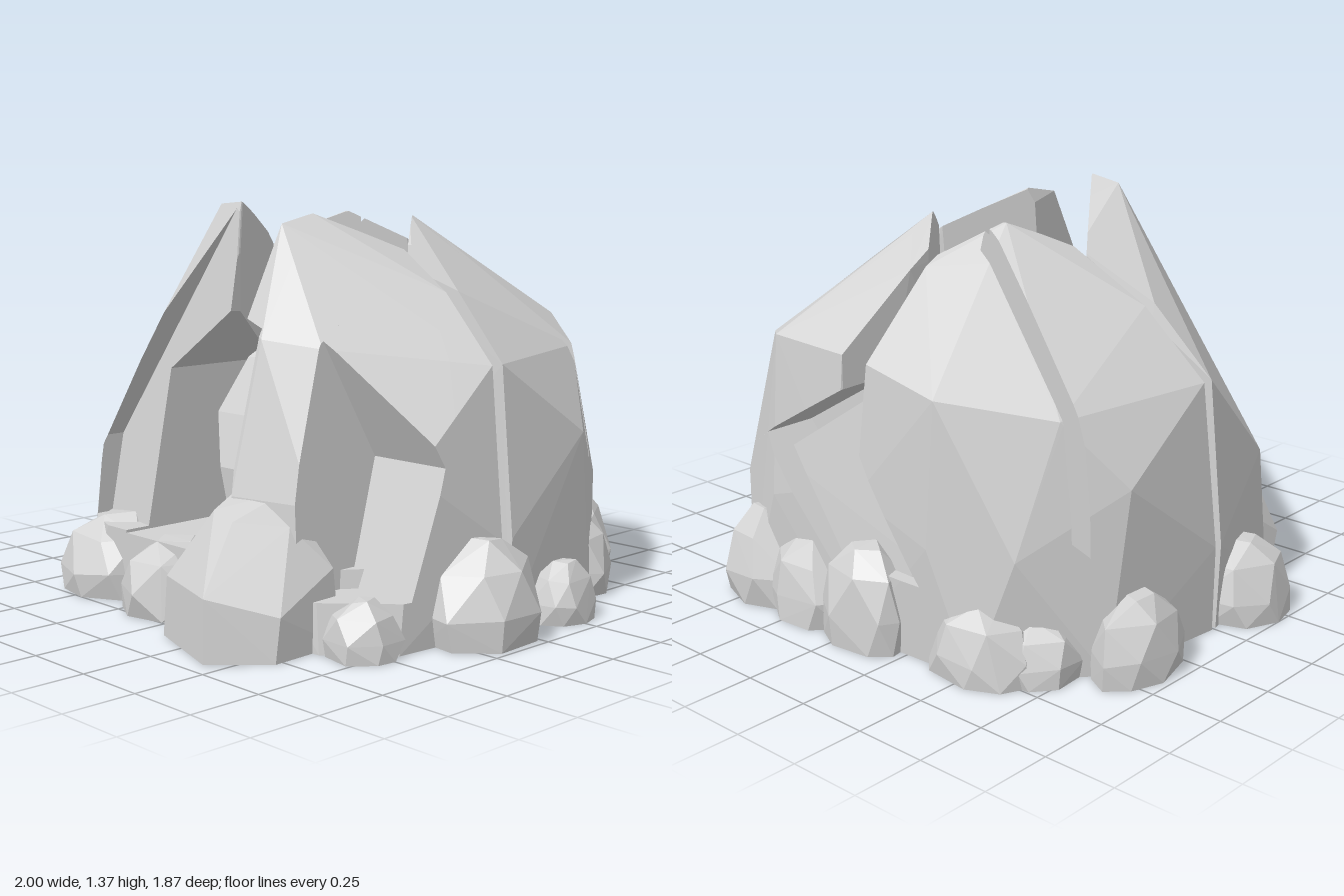
import * as THREE from 'three';
import { ConvexGeometry } from 'three/addons/geometries/ConvexGeometry.js';
import { mergeGeometries } from 'three/addons/utils/BufferGeometryUtils.js';

const stone = new THREE.MeshStandardMaterial({ color: 0xd2d2d2, flatShading: true });
stone.name = 'grey stone';

const V = (p) => new THREE.Vector3(...p);
// A cut plane [nx, ny, nz, c] keeps the points where n . p >= c.
const dist = (p, [a, b, c, d]) => a * p.x + b * p.y + c * p.z - d;
const flip = (plane) => plane.map((n) => -n);

// Drop repeated points and points inside the hull; null when nothing solid is left.
function hullPoints(points) {
  const unique = (list) => [...new Map(list.map((p) =>
    [p.toArray().map((n) => Math.round(n * 2000)).join(), p])).values()];
  const pts = unique(points);
  if (pts.length < 4) return null;
  const size = new THREE.Box3().setFromPoints(pts).getSize(new THREE.Vector3());
  if (Math.min(size.x, size.y, size.z) < 0.004) return null;
  const pos = new ConvexGeometry(pts).attributes.position;
  const out = [];
  for (let i = 0; i < pos.count; i++) out.push(new THREE.Vector3().fromBufferAttribute(pos, i));
  return out.length < 12 ? null : unique(out);
}

// Cut a convex solid by one plane.
function clip(points, plane) {
  if (!points) return null;
  const d = points.map((p) => dist(p, plane));
  const out = points.filter((p, i) => d[i] >= 0);
  for (let i = 0; i < points.length; i++) {
    for (let j = 0; j < points.length; j++) {
      if (d[i] > 0 && d[j] < 0) out.push(points[i].clone().lerp(points[j], d[i] / (d[i] - d[j])));
    }
  }
  return hullPoints(out);
}

// Carve the region inside all the planes out of a list of convex solids.
function carve(solids, planes) {
  const out = [];
  for (const solid of solids) {
    let rest = solid;
    for (const plane of planes) {
      const part = clip(rest, flip(plane));
      if (part) out.push(part);
      rest = clip(rest, plane);
    }
  }
  return out;
}

function addRock(group, name, solids) {
  const mesh = new THREE.Mesh(mergeGeometries(solids.map((s) => new ConvexGeometry(s))), stone);
  mesh.name = name;
  group.add(mesh);
}

// Quarter of the split boulder: outline points, a cut facing the core, then notches.
function addShard(group, name, points, coreCut, notches) {
  let solids = [clip(points.map(V), coreCut)];
  for (const planes of notches) solids = carve(solids, planes);
  addRock(group, name, solids);
}

// Rounded, faceted pebble with a flat base.
function pebble(x, z, rx, rz, h, seed) {
  let s = seed * 7919 + 17;
  const rand = () => (s = (s * 16807) % 2147483647) / 2147483647;
  const pts = [];
  for (const [level, r, sides] of [[0, 0.95, 8], [0.34, 1, 7], [0.74, 0.78, 6], [1, 0.34, 4]]) {
    const turn = rand() * 6;
    for (let i = 0; i < sides; i++) {
      const a = turn + (i + rand() * 0.4) / sides * Math.PI * 2;
      const k = r * (0.97 + rand() * 0.1);
      const y = level === 0 ? 0 : h * (level - rand() * 0.06);
      pts.push(new THREE.Vector3(x + Math.cos(a) * rx * k, y, z + Math.sin(a) * rz * k));
    }
  }
  return pts;
}

export function createModel() {
  const group = new THREE.Group();
  group.name = 'splitBoulder';

  // Back quarters, each with a tapering crack and a broken inner corner
  addShard(group, 'backRightShard', [
    [-0.2, 1.32, -0.28], [-0.06, 1.31, -0.3], [-0.05, 1.19, -0.5], [-0.07, 0.93, -0.79], [-0.38, 0.88, -0.81],
    [-0.05, 1.26, -0.1], [-0.32, 1.24, -0.1], [-0.6, 1.07, -0.06], [-0.82, 0.85, -0.03],
    [-0.88, 0.3, -0.02], [-0.87, 0, -0.01], [-0.68, 0.82, -0.57], [-0.84, 0.6, -0.42],
    [-0.82, 0, -0.5], [-0.64, 0.4, -0.73], [-0.52, 0, -0.8], [-0.36, 0.4, -0.83],
    [-0.05, 0.5, -0.83], [-0.02, 0, -0.82], [-0.01, 0, -0.02],
  ], [-0.78, 0, -0.62, 0.32], [
    [[-0.33, 0, 0.94, -0.302], [0.33, 0, -0.94, 0.245], [-0.82, 0.57, 0, 0.86]],
    [[1.4, -1, 0, -0.71], [0, 1, 0, 0.26], [0, 0, -1, 0.6]],
  ]);
  addShard(group, 'backLeftShard', [
    [0.13, 1.32, -0.27], [0.04, 1.28, -0.3], [0.02, 1.17, -0.5], [0.04, 0.94, -0.79],
    [0.36, 0.95, -0.79], [0.05, 1.22, -0.1], [0.3, 1.22, -0.1], [0.55, 1.08, -0.06],
    [0.77, 0.86, -0.03], [0.83, 0.3, -0.02], [0.83, 0, -0.01], [0.63, 0.87, -0.57],
    [0.8, 0.6, -0.42], [0.78, 0, -0.5], [0.62, 0.4, -0.72], [0.52, 0, -0.8],
    [0.36, 0.4, -0.83], [0.04, 0.5, -0.83], [0.01, 0, -0.82], [0.01, 0, -0.02],
  ], [0.77, 0, -0.64, 0.283], [
    [[0.41, 0, 0.91, -0.275], [-0.41, 0, -0.91, 0.218], [0.82, 0.57, 0, 0.86]],
    [[-0.51, -0.86, 0, -0.73], [-1.08, 1, 0, 0.146], [0, 0, -1, 0.6]],
  ]);

  // Front quarters: an arch over the core, and broken-out corners
  addShard(group, 'frontRightShard', [
    [-0.04, 1.25, 0.0], [-0.32, 1.22, -0.06], [-0.6, 1.07, -0.01], [-0.82, 0.85, 0.01],
    [-0.88, 0.3, 0.01], [-0.87, 0, 0.01], [-0.15, 1.36, 0.36], [0, 1.37, 0.4],
    [0.03, 1.2, 0.44], [0.05, 1.0, 0.55], [-0.3, 0.9, 0.56], [-0.3, 0.52, 0.67],
    [0.02, 0.5, 0.67], [0.02, 0, 0.66], [-0.3, 0, 0.66], [-0.58, 0.5, 0.56],
    [-0.76, 0.5, 0.4], [-0.74, 0, 0.5], [-0.52, 0, 0.66], [-0.02, 0, 0.0],
  ], [-0.79, 0, 0.615, 0.243], [
    [[1, 0, 0, -0.31], [0.64, -1, 0, -0.99], [0, 1, 0, 0.24]],
    [[1, 0, 0, -0.6], [1.4, -1, 0, -1.37], [-0.2, 0.2, 1, 0.68], [0, 1, 0, 0.25]],
  ]);
  addShard(group, 'frontLeftShard', [
    [0.08, 1.24, 0.0], [0.3, 1.21, -0.06], [0.55, 1.08, 0.0], [0.77, 0.86, 0.02],
    [0.83, 0.3, 0.03], [0.82, 0, 0.02], [0.13, 1.33, 0.2], [0.13, 1.3, 0.34],
    [0.14, 1.0, 0.5], [0.24, 0.94, 0.53], [0.24, 0.45, 0.66], [0.26, 0, 0.66],
    [0.45, 0.92, 0.46], [0.55, 0.45, 0.6], [0.6, 0, 0.62], [0.77, 0.55, 0.38],
    [0.78, 0, 0.45], [0.08, 0, 0.0],
  ], [0.81, 0, 0.58, 0.214], [
    [[-1, 0, 0, -0.225], [-0.3, -1, 0, -1.04], [0, 1, 0, 0.24]],
    [[1, 0.1, 0, 0.53], [0, 0.35, 0.94, 0.43], [0, -0.45, 0.89, -0.03], [0, 1, 0, 0.16]],
  ]);

  // Core stone standing in the hollow
  const core = [
    [[-0.2, -0.23], [-0.03, -0.42], [0.15, -0.23], [0.1, -0.02], [-0.12, -0.02]].map(([x, z]) => [x, 0.98, z]),
    [[-0.36, -0.08], [-0.03, -0.47], [0.29, -0.08], [0.16, 0.2], [-0.2, 0.2]].map(([x, z]) => [x, 0.82, z]),
    [[-0.36, -0.08], [0.29, -0.06], [0.2, 0.3], [-0.25, 0.3], [-0.32, 0.12], [0.27, 0.12]].map(([x, z]) => [x, 0.63, z]),
    [[-0.33, 0.12], [0.28, 0.12], [0.14, 0.36], [-0.17, 0.36]].map(([x, z]) => [x, 0.45, z]),
    [[-0.34, 0.08], [0.28, 0.08], [0.12, 0.35], [-0.15, 0.35], [-0.03, -0.47]].map(([x, z]) => [x, 0.33, z]),
    [[-0.35, -0.08], [-0.03, -0.47], [0.29, -0.08], [0.12, 0.2], [-0.15, 0.2]].map(([x, z]) => [x, 0, z]),
  ].flat().map(V);
  addRock(group, 'coreStone', [core]);

  // Low footing that joins the quarters under the core
  const footing = [[0.72, 0.2], [0.45, 0.58], [-0.45, 0.6], [-0.74, 0.2], [-0.74, -0.3], [-0.4, -0.72],
    [0.4, -0.72], [0.72, -0.3]].flatMap(([x, z]) => [V([x, 0, z]), V([x * 0.95, 0.22, z * 0.95])]);
  addRock(group, 'footing', [footing]);

  // Rock wedged in the lower part of the back gap
  addRock(group, 'backInfill', [[
    [-0.34, 0, -0.78], [0.44, 0, -0.78], [-0.34, 0.3, -0.78], [0.44, 0.5, -0.73], [0.02, 0.78, -0.7],
    [-0.08, 0.78, -0.7], [-0.2, 0, -0.45], [0.3, 0, -0.45], [-0.04, 0.7, -0.5],
  ].map(V)]);

  // Ring of loose stones round the foot: x, z, half width, half depth, height
  const stones = [
    [-0.49, 0.55, 0.21, 0.22, 0.28], [-0.12, 0.6, 0.18, 0.2, 0.25], [0.69, 0.52, 0.12, 0.13, 0.18],
    [-0.83, 0.2, 0.17, 0.18, 0.27], [0.81, 0.11, 0.19, 0.22, 0.33], [0.86, -0.25, 0.1, 0.13, 0.2],
    [0.63, -0.56, 0.16, 0.17, 0.28], [0.46, -0.77, 0.17, 0.15, 0.33], [0.21, -0.79, 0.18, 0.13, 0.29],
    [-0.86, -0.4, 0.12, 0.19, 0.27], [-0.64, -0.62, 0.14, 0.14, 0.2], [-0.5, -0.73, 0.2, 0.14, 0.25],
    [-0.07, -0.81, 0.17, 0.13, 0.34],
  ];
  stones.forEach((s, i) => addRock(group, 'looseStone' + (i + 1), [pebble(...s, i + 1)]));

  // Large front stone
  addRock(group, 'largeStone', [[
    [0.03, 0, 0.6], [0.1, 0, 0.83], [0.43, 0, 0.94], [0.58, 0, 0.78], [0.57, 0, 0.5], [0.08, 0, 0.42],
    [0.02, 0.22, 0.58], [0.12, 0.2, 0.83], [0.42, 0.2, 0.93], [0.58, 0.14, 0.76], [0.56, 0.25, 0.52],
    [0.1, 0.41, 0.55], [0.2, 0.47, 0.58], [0.38, 0.47, 0.56], [0.47, 0.38, 0.62], [0.25, 0.42, 0.74],
    [0.36, 0.4, 0.76], [0.25, 0.4, 0.42],
  ].map(V)]);

  return group;
}
